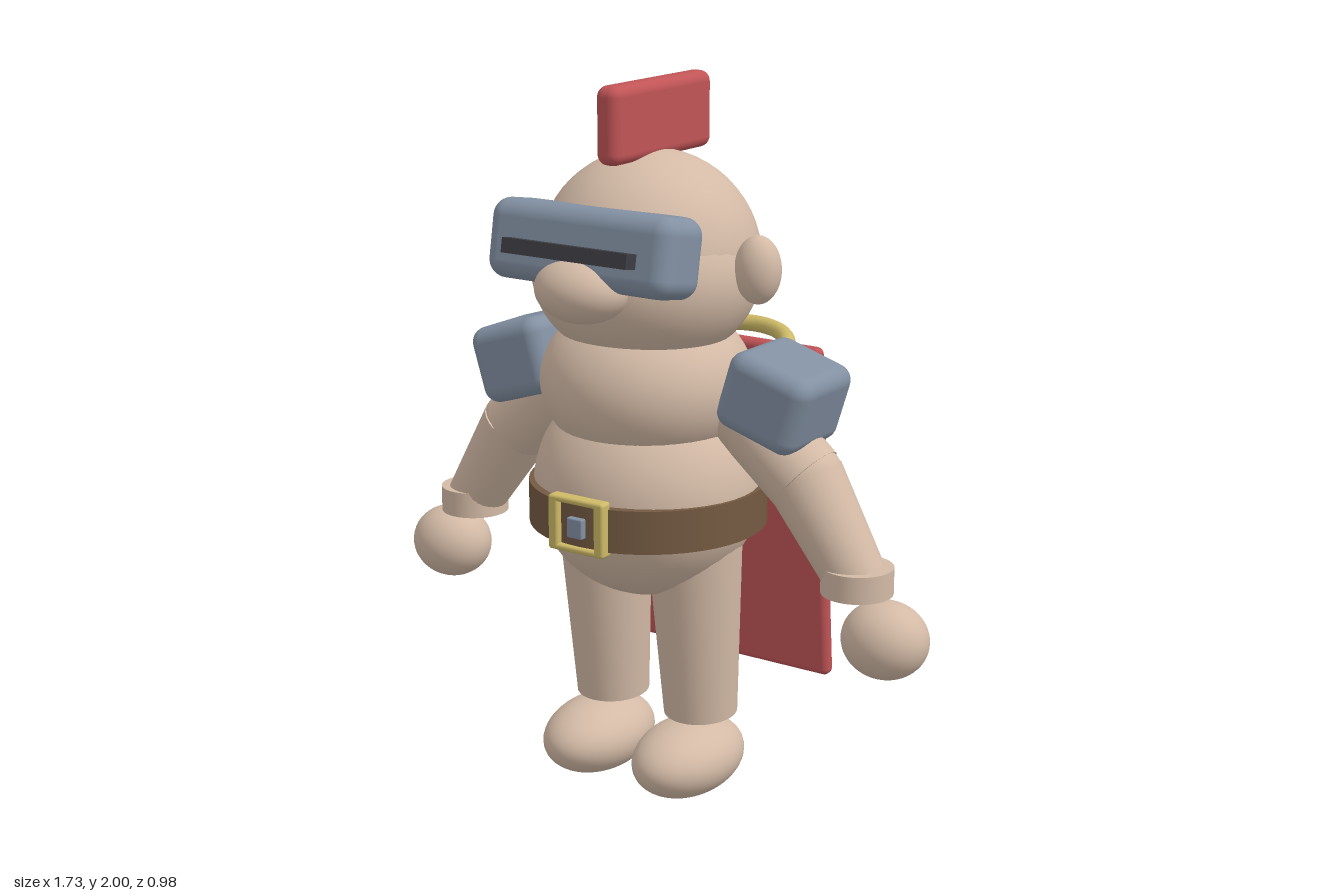
import * as THREE from 'three';
import { RoundedBoxGeometry } from 'three/addons/geometries/RoundedBoxGeometry.js';

function material(name, color) {
  const m = new THREE.MeshStandardMaterial({ color });
  m.name = name;
  return m;
}

export function createModel() {
  const model = new THREE.Group();
  const skin = material('skin', 0xd3baa6);
  const steel = material('steel', 0x8290a2);
  const red = material('red', 0xc05456);
  const leather = material('leather', 0x745a42);
  const gold = material('gold', 0xcdb967);
  const dark = material('dark slit', 0x3c3d44);

  function add(name, geometry, mat, x, y, z) {
    const mesh = new THREE.Mesh(geometry, mat);
    mesh.name = name;
    mesh.position.set(x, y, z);
    model.add(mesh);
    return mesh;
  }
  const ball = (name, x, y, z, rx, ry, rz) =>
    add(name, new THREE.SphereGeometry(1, 40, 28).scale(rx, ry, rz), skin, x, y, z);
  const block = (name, mat, w, h, d, r, x, y, z) =>
    add(name, new RoundedBoxGeometry(w, h, d, 5, r), mat, x, y, z);

  // Tapered limb between two points
  function limb(name, a, b, ra, rb) {
    const from = new THREE.Vector3(...a), to = new THREE.Vector3(...b);
    const dir = to.clone().sub(from);
    const mid = from.clone().add(to).multiplyScalar(0.5);
    const mesh = add(name, new THREE.CylinderGeometry(rb, ra, dir.length(), 32), skin, mid.x, mid.y, mid.z);
    mesh.quaternion.setFromUnitVectors(new THREE.Vector3(0, 1, 0), dir.normalize());
  }

  // Head
  ball('cranium', 0, 1.515, 0.07, 0.305, 0.3, 0.302);
  ball('jaw', 0, 1.48, 0.09, 0.317, 0.25, 0.295);
  ball('nose', 0, 1.483, 0.38, 0.135, 0.09, 0.108);
  block('crest', red, 0.075, 0.21, 0.46, 0.03, 0, 1.895, 0.045);

  // Visor with its slit
  block('visor', steel, 0.59, 0.215, 0.185, 0.05, 0, 1.585, 0.325).rotation.x = -0.18;
  add('visorSlit', new THREE.BoxGeometry(0.4, 0.04, 0.06), dark, 0, 1.588, 0.433).rotation.x = -0.18;

  // Torso
  ball('chest', 0, 1.18, 0.085, 0.298, 0.235, 0.287);
  ball('belly', 0, 0.88, 0.085, 0.323, 0.31, 0.3);

  // Belt and buckle
  add('belt', new THREE.CylinderGeometry(0.332, 0.332, 0.12, 48), leather, 0, 0.84, 0.078);
  for (const s of [-1, 1]) {
    block('buckleSide', gold, 0.032, 0.152, 0.04, 0.008, s * 0.075, 0.843, 0.403);
    block('buckleBar', gold, 0.18, 0.018, 0.04, 0.008, 0, 0.843 + s * 0.068, 0.403);
  }
  block('bucklePin', steel, 0.05, 0.056, 0.03, 0.004, 0, 0.838, 0.412);

  // Mirrored parts
  for (const s of [1, -1]) {
    const side = s > 0 ? 'left' : 'right';
    ball(side + 'Ear', s * 0.352, 1.525, 0.078, 0.064, 0.092, 0.06);
    limb(side + 'UpperArm', [s * 0.27, 1.15, 0.04], [s * 0.485, 0.965, 0.04], 0.11, 0.108);
    ball(side + 'Elbow', s * 0.485, 0.965, 0.04, 0.107, 0.107, 0.1);
    limb(side + 'Forearm', [s * 0.485, 0.965, 0.04], [s * 0.65, 0.715, 0.042], 0.107, 0.084);
    add(side + 'Cuff', new THREE.CylinderGeometry(0.098, 0.098, 0.075, 36), skin, s * 0.652, 0.715, 0.042);
    ball(side + 'Hand', s * 0.742, 0.563, 0.043, 0.122, 0.107, 0.108);
    block(side + 'ShoulderPad', steel, 0.255, 0.22, 0.276, 0.045, s * 0.415, 1.185, 0.042).rotation.z = -s * 0.3;
    limb(side + 'Leg', [s * 0.152, 0.76, 0.075], [s * 0.152, 0.225, 0.04], 0.134, 0.104);
    ball(side + 'Foot', s * 0.155, 0.11, 0.106, 0.137, 0.107, 0.2);
  }

  // Cape hanging from a gold ring
  block('cape', red, 0.71, 1.0, 0.045, 0.02, 0, 0.748, -0.297).rotation.x = 0.085;
  add('capeRing', new THREE.TorusGeometry(0.2, 0.024, 16, 56), gold, 0, 1.196, -0.268).rotation.x = Math.PI / 2 + 0.17;

  return model;
}
